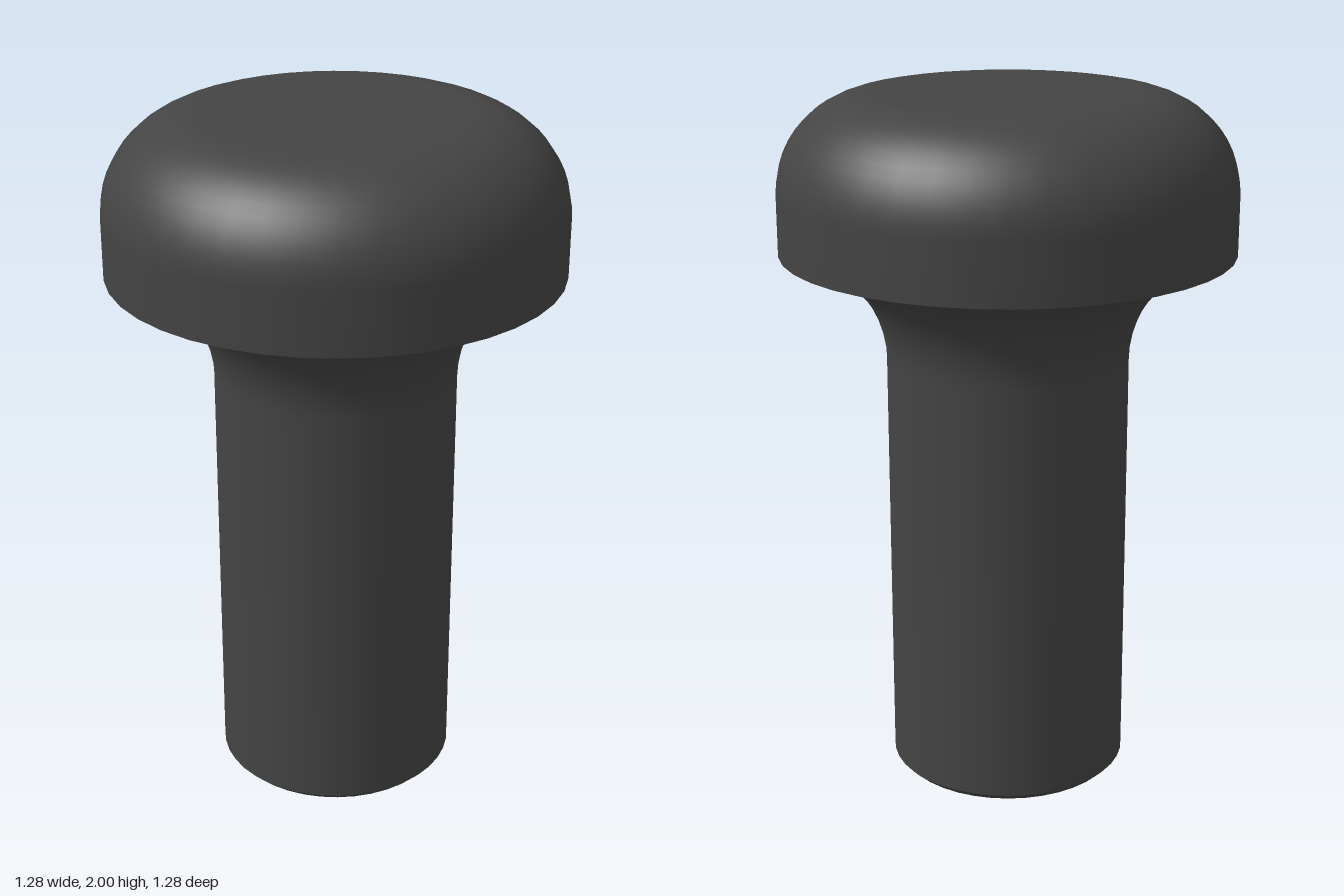
import * as THREE from 'three';

const SEGMENTS = 40;
const SHAFT_R = 0.345;
const FOOT_R = 0.325;
const SOCKET_DEPTH = 1.0;

// Points of an elliptical arc for a lathe profile
function arc(cx, cy, rx, ry, from, to, steps) {
  return Array.from({ length: steps + 1 }, (_, i) => {
    const a = from + (to - from) * i / steps;
    return new THREE.Vector2(cx + rx * Math.cos(a), cy + ry * Math.sin(a));
  });
}

// Rounded square outline, counterclockwise
function roundedSquare(half, radius) {
  const points = [];
  for (let k = 0; k < 4; k++) {
    const a = k * Math.PI / 2, mid = a + Math.PI / 4;
    const reach = (half - radius) * Math.SQRT2;
    points.push(...arc(Math.cos(mid) * reach, Math.sin(mid) * reach, radius, radius, a, a + Math.PI / 2, 6));
  }
  return points;
}

// Inward-facing wall rising from an outline
function socketWall(outline, depth) {
  const positions = [], index = [], n = outline.length;
  for (const p of outline) positions.push(p.x, 0, p.y, p.x, depth, p.y);
  for (let i = 0; i < n; i++) {
    const a = 2 * i, b = 2 * ((i + 1) % n);
    index.push(a, b, a + 1, b, b + 1, a + 1);
  }
  const geometry = new THREE.BufferGeometry();
  geometry.setAttribute('position', new THREE.Float32BufferAttribute(positions, 3));
  geometry.setIndex(index);
  geometry.computeVertexNormals();
  return geometry;
}

export function createModel() {
  const group = new THREE.Group();
  const darkGrey = new THREE.MeshStandardMaterial({ color: 0x444444 });
  darkGrey.name = 'darkGrey';

  const add = (name, geometry) => {
    const mesh = new THREE.Mesh(geometry, darkGrey);
    mesh.name = name;
    group.add(mesh);
  };
  const lathe = (name, points) => add(name, new THREE.LatheGeometry(points, SEGMENTS));
  const v = (x, y) => new THREE.Vector2(x, y);

  // Chamfer at the foot
  lathe('footChamfer', [v(FOOT_R, 0), v(SHAFT_R, 0.02)]);

  // Shaft flaring into the underside of the head
  lathe('shaft', [v(SHAFT_R, 0.02), ...arc(0.64, 1.25, 0.64 - SHAFT_R, 0.31, Math.PI, Math.PI / 2, 12)]);

  // Head with rounded shoulder and flat top
  lathe('head', [v(0.64, 1.56), ...arc(0.37, 1.73, 0.27, 0.27, 0, Math.PI / 2, 12), v(0, 2)]);

  // Foot face pierced by a rounded square socket
  const outline = roundedSquare(0.19, 0.08);
  const rim = arc(0, 0, FOOT_R, FOOT_R, 0, Math.PI * 2, SEGMENTS).slice(0, -1);
  const footShape = new THREE.Shape(rim);
  footShape.holes.push(new THREE.Path(outline));
  add('footFace', new THREE.ShapeGeometry(footShape).rotateX(Math.PI / 2));

  // Socket interior
  add('socketWall', socketWall(outline, SOCKET_DEPTH));
  add('socketEnd', new THREE.ShapeGeometry(new THREE.Shape(outline))
    .rotateX(Math.PI / 2).translate(0, SOCKET_DEPTH, 0));

  return group;
}
